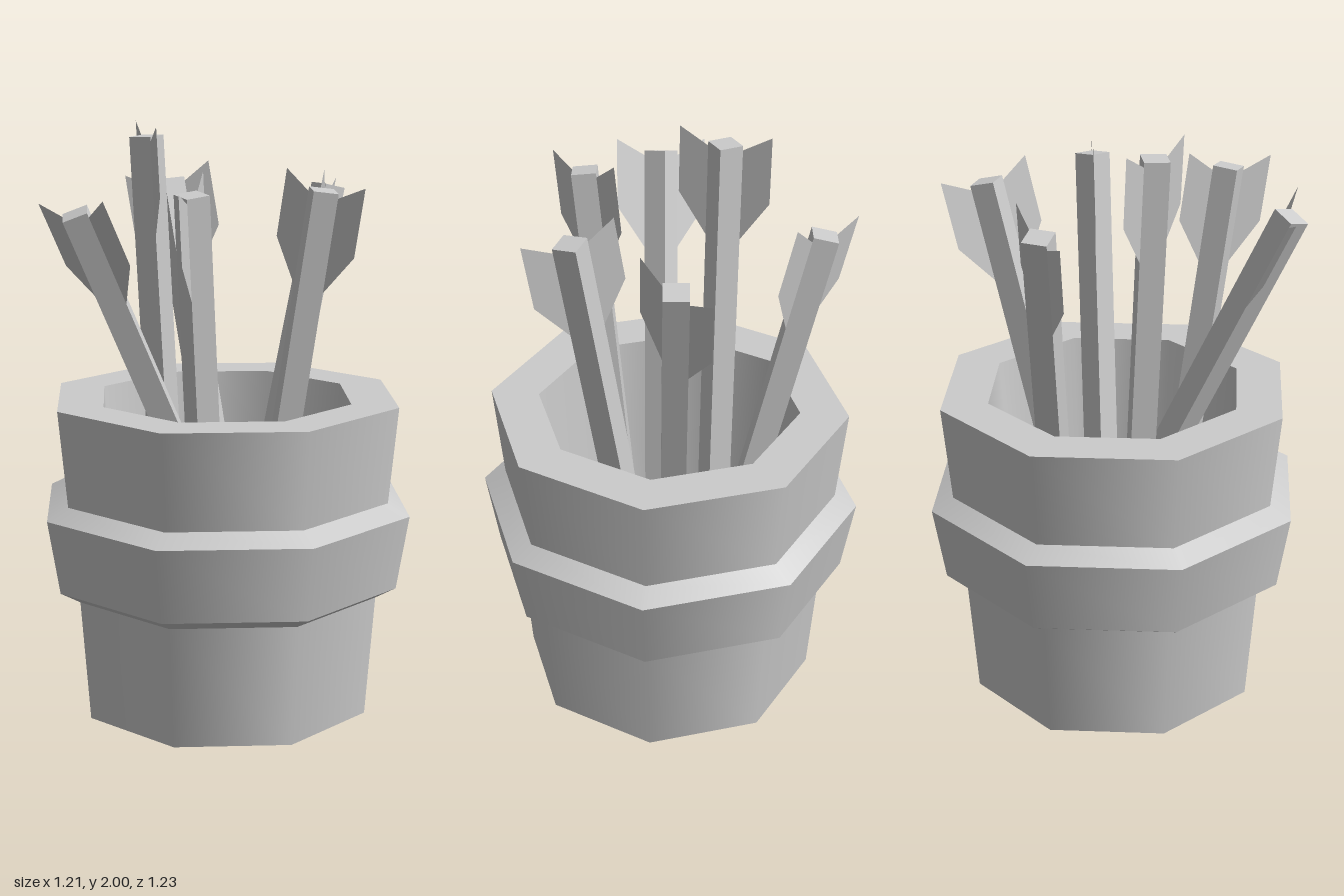
import * as THREE from 'three';
import { mergeGeometries } from 'three/addons/utils/BufferGeometryUtils.js';

const grey = new THREE.MeshStandardMaterial({ color: 0xcccccc });
const thin = new THREE.MeshStandardMaterial({ color: 0xcccccc, side: THREE.DoubleSide });

// Eight-sided pot: one lathe band per profile step, so ring edges stay sharp
function createPot() {
  const floorY = 0.27;
  const profile = [
    [0, 0], [0.47, 0], [0.5, 0.42], [0.565, 0.46], [0.605, 0.715],
    [0.535, 0.755], [0.565, 1.085], [0.413, 1.085], [0.35, floorY], [0, floorY],
  ].map(([apothem, y]) => new THREE.Vector2(apothem / Math.cos(Math.PI / 8), y));
  const bands = [];
  for (let i = 0; i < profile.length - 1; i++) {
    bands.push(new THREE.LatheGeometry([profile[i], profile[i + 1]], 8, Math.PI / 8));
  }
  const pot = new THREE.Mesh(mergeGeometries(bands), grey);
  pot.name = 'pot';
  pot.position.z = -0.012;
  return pot;
}

// Swept-back fin outline, measured from the centre of the shaft's top end
const finShape = new THREE.Shape([
  new THREE.Vector2(0.05, -0.02), new THREE.Vector2(0.05, -0.345),
  new THREE.Vector2(0.155, -0.19), new THREE.Vector2(0.155, 0.04),
]);
const finGeometry = new THREE.ShapeGeometry(finShape);

// Square shaft from foot to top with two opposite fins on its corners
function createArrow(top, foot, finDirection) {
  const topPoint = new THREE.Vector3(...top);
  const axis = topPoint.clone().sub(new THREE.Vector3(...foot));
  const length = axis.length();
  axis.normalize();
  const across = new THREE.Vector3(finDirection[0], 0, finDirection[1]);
  across.addScaledVector(axis, -across.dot(axis)).normalize();
  const normal = new THREE.Vector3().crossVectors(across, axis);

  const arrow = new THREE.Group();
  arrow.name = 'arrow';
  arrow.quaternion.setFromRotationMatrix(new THREE.Matrix4().makeBasis(across, axis, normal));
  arrow.position.copy(topPoint);

  const shaft = new THREE.Mesh(new THREE.BoxGeometry(0.083, length, 0.083), grey);
  shaft.name = 'shaft';
  shaft.position.y = -length / 2;
  shaft.rotation.y = Math.PI / 4;
  arrow.add(shaft);

  for (const turn of [0, Math.PI]) {
    const fin = new THREE.Mesh(finGeometry, thin);
    fin.name = 'fin';
    fin.rotation.y = turn;
    arrow.add(fin);
  }
  return arrow;
}

export function createModel() {
  const model = new THREE.Group();
  model.name = 'potOfArrows';
  model.add(createPot());

  // Top end, foot on the pot floor, horizontal fin direction (x, z)
  const arrows = [
    [[-0.457, 1.775, -0.218], [-0.09, 0.27, -0.185], [-0.3, 0.17]],
    [[-0.228, 1.96, 0.128], [-0.18, 0.27, 0.06], [-0.26, -0.17]],
    [[-0.127, 1.745, 0.56], [0.05, 0.27, -0.1], [1, 0]],
    [[0.093, 1.775, -0.443], [0.01, 0.27, -0.09], [0.14, 0.25]],
    [[0.19, 1.81, 0.357], [0.09, 0.27, 0.155], [0.07, 0.13]],
    [[0.345, 1.8, -0.108], [0.1, 0.27, -0.055], [1, -0.1]],
  ];
  for (const spec of arrows) model.add(createArrow(...spec));
  return model;
}
